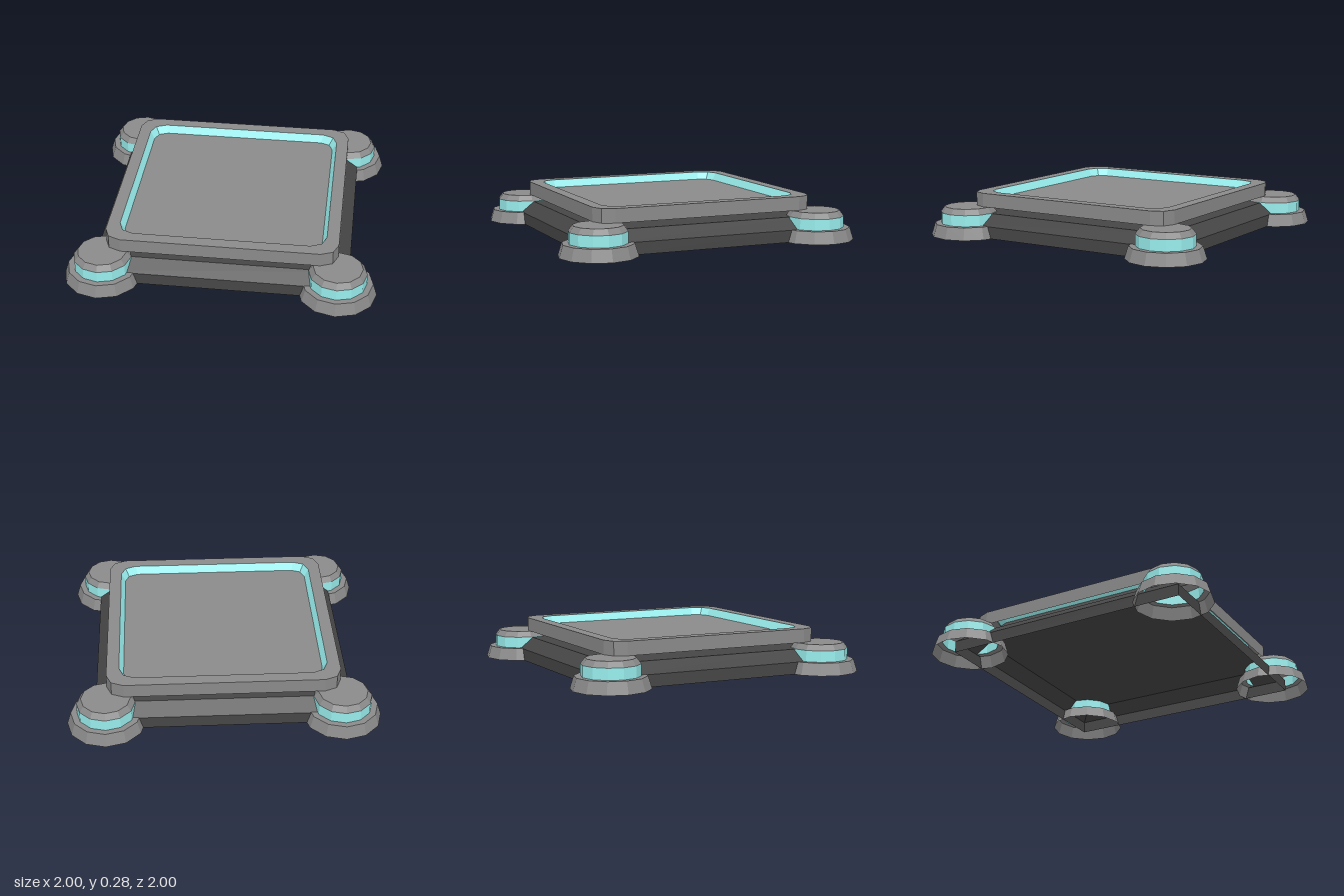
import * as THREE from 'three';

const material = (color) =>
  new THREE.MeshStandardMaterial({ color, flatShading: true, side: THREE.DoubleSide });

// Square outline with rounded corners: counter-clockwise in x/z seen from above
function outline(half, radius, y, segments = 2) {
  const points = [];
  for (let corner = 0; corner < 4; corner++) {
    const mid = Math.PI / 4 + corner * Math.PI / 2;
    const cx = Math.sign(Math.cos(mid)) * (half - radius);
    const cz = -Math.sign(Math.sin(mid)) * (half - radius);
    for (let i = 0; i <= segments; i++) {
      const a = (corner + i / segments) * Math.PI / 2;
      points.push([cx + radius * Math.cos(a), y, cz - radius * Math.sin(a)]);
    }
  }
  return points;
}

// Skin between successive outlines, optionally closed by a flat face on the last one
function skin(rings, closed = false) {
  const n = rings[0].length;
  const index = [];
  for (let r = 0; r < rings.length - 1; r++) {
    for (let i = 0; i < n; i++) {
      const j = (i + 1) % n;
      const a = r * n + i, b = r * n + j, c = a + n, d = b + n;
      index.push(a, b, d, a, d, c);
    }
  }
  if (closed) {
    const start = (rings.length - 1) * n;
    for (let i = 1; i < n - 1; i++) index.push(start, start + i, start + i + 1);
  }
  const geometry = new THREE.BufferGeometry();
  geometry.setAttribute('position', new THREE.Float32BufferAttribute(rings.flat(2), 3));
  geometry.setIndex(index);
  const flat = geometry.toNonIndexed();
  flat.computeVertexNormals();
  return flat;
}

// Four sharp corners
const square = (half, y) => [[half, y, half], [half, y, -half], [-half, y, -half], [-half, y, half]];

export function createModel() {
  const model = new THREE.Group();
  model.name = 'platform';
  const grey = material(0x8a8a8a);
  const dark = material(0x464646);
  const cyan = material(0x99eeee);

  const add = (parent, name, geometry, mat) => {
    const mesh = new THREE.Mesh(geometry, mat);
    mesh.name = name;
    parent.add(mesh);
    return mesh;
  };

  // Dark base: upright skirt, sloped shoulder, flat deck, open underneath
  add(model, 'base', skin([square(0.82, 0), square(0.82, 0.078), square(0.74, 0.15)], true), dark);

  // Raised plate: outer wall and rim, glowing bevel, recessed panel
  const rimInner = outline(0.665, 0.1, 0.28);
  const panelEdge = outline(0.637, 0.085, 0.23);
  add(model, 'plateRim', skin([outline(0.745, 0.11, 0.19), outline(0.745, 0.11, 0.28), rimInner]), grey);
  add(model, 'plateBevel', skin([rimInner, panelEdge]), cyan);
  add(model, 'platePanel', skin([panelEdge], true), grey);

  // Corner feet: flared foot ring, glowing band, chamfered cap
  const lathe = (...points) =>
    new THREE.LatheGeometry(points.map(([r, y]) => new THREE.Vector2(r, y)), 12);
  const ringGeometry = lathe([0.25, 0], [0.225, 0.08], [0.185, 0.08]);
  const bandGeometry = lathe([0.185, 0.08], [0.185, 0.153]);
  const capGeometry = lathe([0.185, 0.153], [0.157, 0.19], [0, 0.19]);
  for (const [side, x] of [['Left', 0.75], ['Right', -0.75]]) {
    for (const [end, z] of [['front', 0.75], ['back', -0.75]]) {
      const foot = new THREE.Group();
      foot.name = `${end}${side}Foot`;
      foot.position.set(x, 0, z);
      add(foot, 'footRing', ringGeometry, grey);
      add(foot, 'footBand', bandGeometry, cyan);
      add(foot, 'footCap', capGeometry, grey);
      model.add(foot);
    }
  }
  return model;
}
